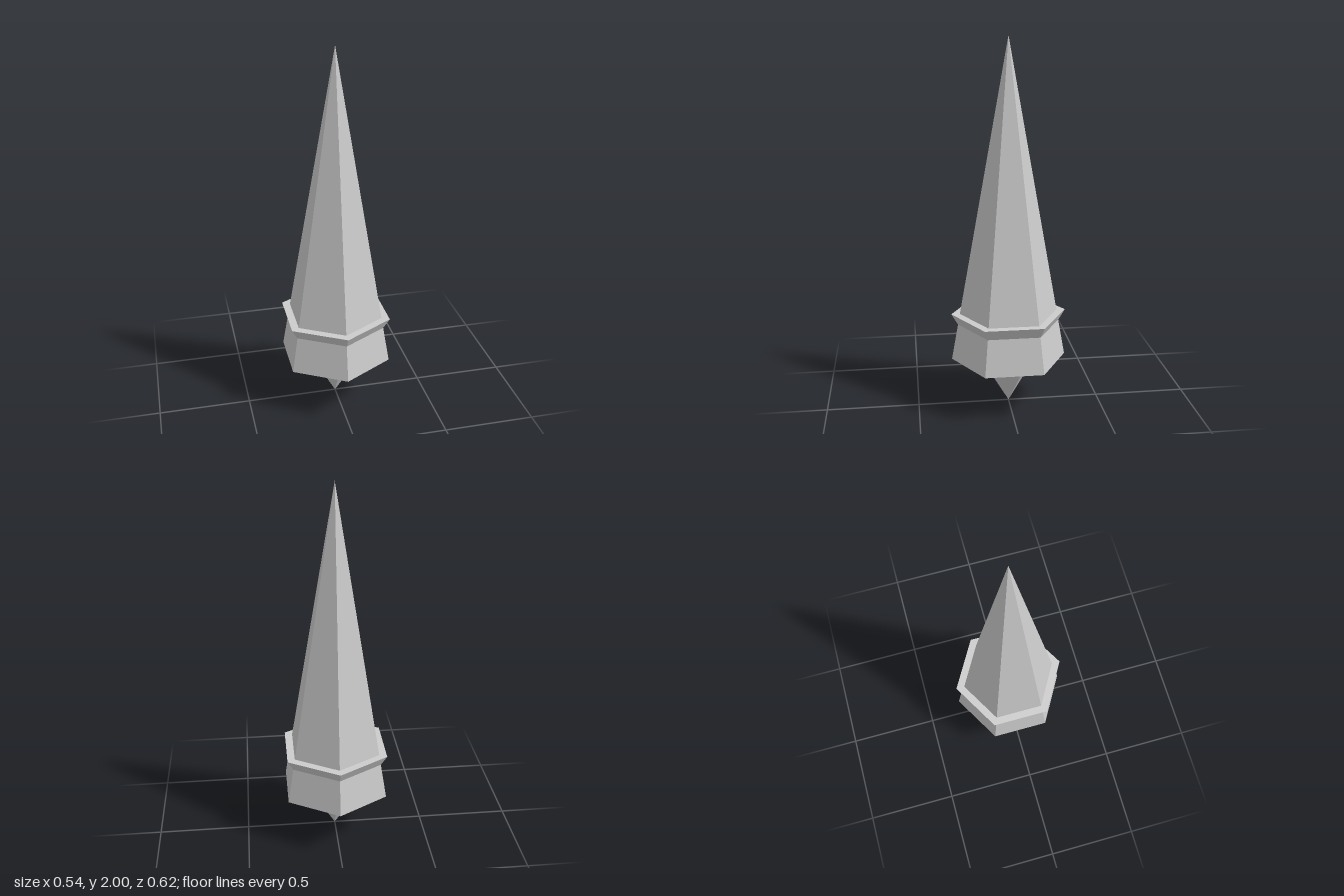
import * as THREE from 'three';

const RADIUS = 0.3125;

export function createModel() {
  const group = new THREE.Group();
  group.name = 'spike';
  const material = new THREE.MeshStandardMaterial({ color: 0xcccccc, flatShading: true });

  // Six-sided cone spanning two heights, its corners on the z axis
  function addCone(name, baseY, tipY) {
    const geometry = new THREE.ConeGeometry(RADIUS, Math.abs(tipY - baseY), 6);
    if (tipY < baseY) geometry.rotateX(Math.PI);
    geometry.translate(0, (baseY + tipY) / 2, 0);
    const mesh = new THREE.Mesh(geometry, material);
    mesh.name = name;
    group.add(mesh);
  }

  // Long blade pointing up, and a short point passing down through it to form the collar
  addCone('upperBlade', 0.265, 2);
  addCone('collarAndLowerPoint', 0.525, 0);

  return group;
}
